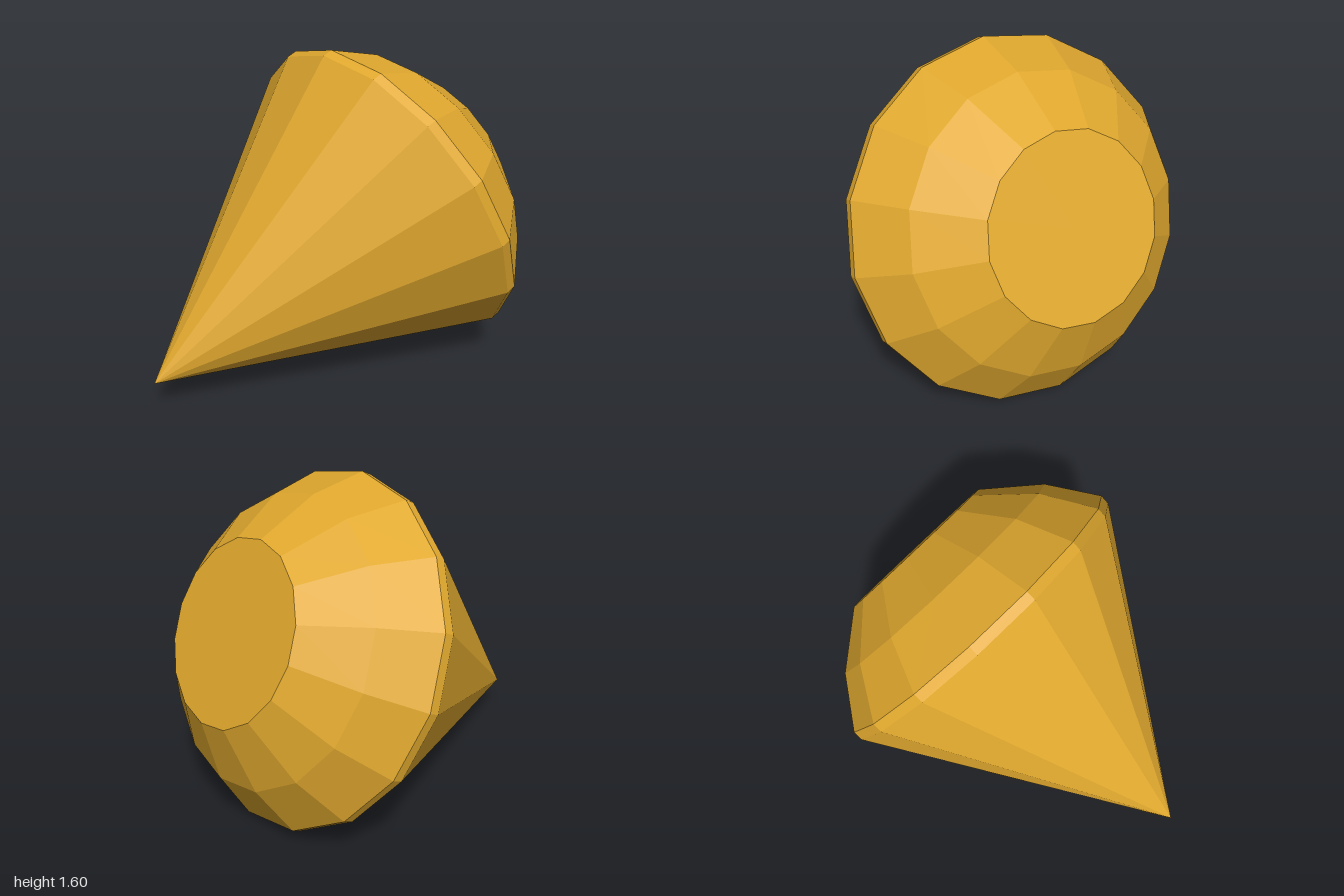
import * as THREE from 'three';

const SIDES = 16;

export function createModel() {
  const gold = new THREE.MeshStandardMaterial({ color: 0xe0a82e });
  gold.name = 'amber gold';

  const model = new THREE.Group();
  model.name = 'cutGem';

  // The gem is built upright with its point at the origin, then tilted back
  const gem = new THREE.Group();
  gem.name = 'gem';
  gem.position.set(0, 0.15, 1);
  gem.rotation.x = THREE.MathUtils.degToRad(-65);
  model.add(gem);

  const addPart = (name, geometry, height) => {
    const flat = geometry.toNonIndexed(); // hard facets
    flat.computeVertexNormals();
    const mesh = new THREE.Mesh(flat, gold);
    mesh.name = name;
    mesh.position.y = height;
    gem.add(mesh);
  };

  // Faceted bands from the point up to the table: [name, r0, h0, r1, h1]
  const bands = [
    ['pavilion', 0, 0, 0.87, 1.512],
    ['girdle', 0.87, 1.512, 0.87, 1.563],
    ['lowerCrown', 0.87, 1.563, 0.697, 1.8],
    ['upperCrown', 0.697, 1.8, 0.435, 2.004],
  ];
  for (const [name, r0, h0, r1, h1] of bands) {
    addPart(name, new THREE.CylinderGeometry(r1, r0, h1 - h0, SIDES, 1, true), (h0 + h1) / 2);
  }

  // Flat table facet closing the crown
  addPart('table', new THREE.CircleGeometry(0.435, SIDES).rotateX(-Math.PI / 2), 2.004);

  return model;
}
